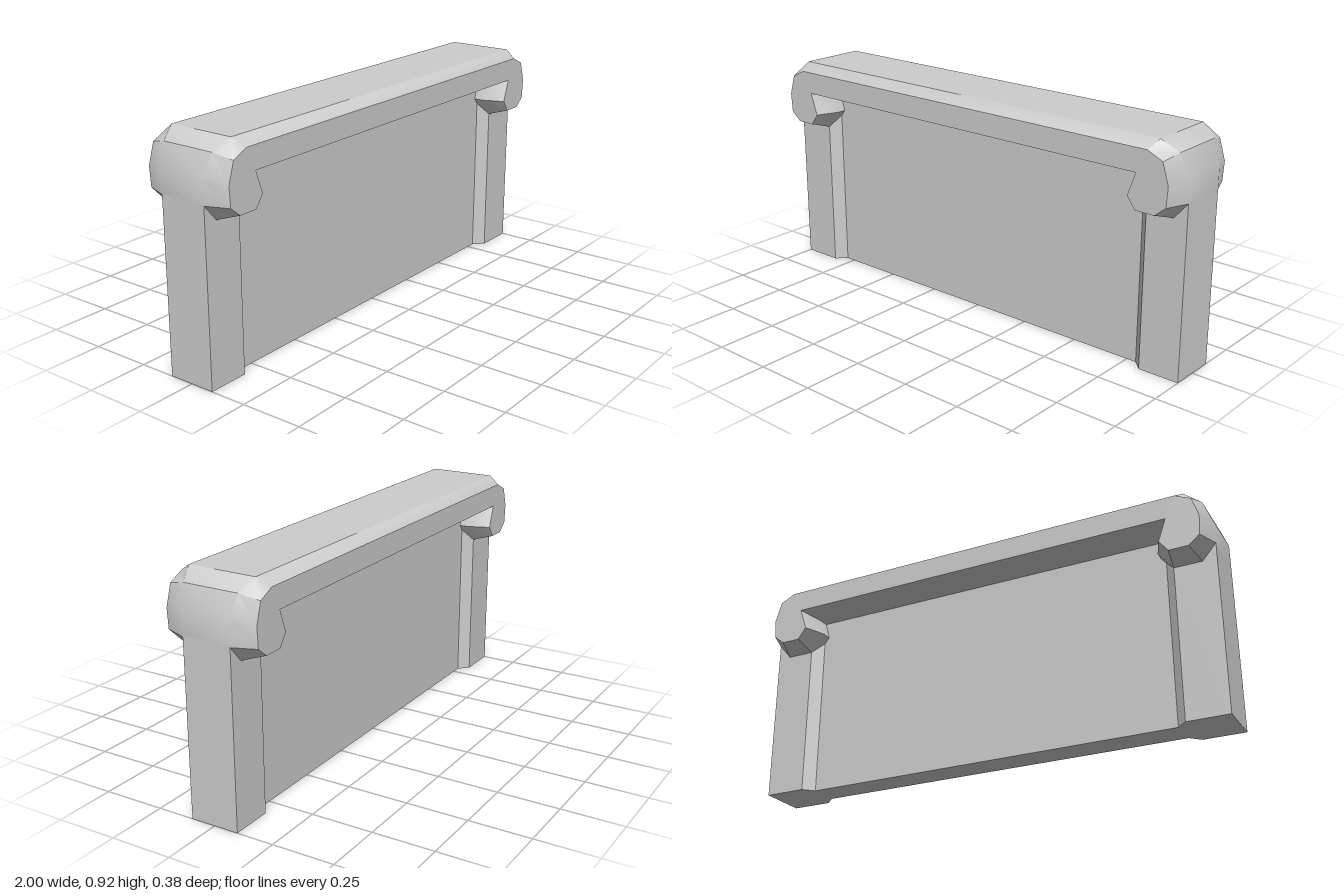
import * as THREE from 'three';
import { toCreasedNormals } from 'three/addons/utils/BufferGeometryUtils.js';

// Half outline of the cap, clockwise from the top: [face x, face y, bulge x, bulge y, bulge z]
const HALF_CAP = [
  [0.88, 0.888, 0.90, 0.92, 0.14],
  [0.944, 0.858, 0.965, 0.877, 0.115],
  [0.97, 0.775, 1.0, 0.786, 0.1],
  [0.965, 0.695, 1.0, 0.695, 0.1],
  [0.92, 0.658, 0.944, 0.63, 0.1],
  [0.84, 0.658, 0.83, 0.63, 0.1],
  [0.805, 0.706, 0.77, 0.706, 0.1],
  [0.837, 0.797, 0.79, 0.775, 0.1],
];
const CAP_Z = 0.19;

// Scrolled cap: four outlines joined front to back, closed by flat faces
function capGeometry() {
  const mirrored = HALF_CAP.map(([a, b, c, d, e]) => [-a, b, -c, d, e]).reverse();
  const outline = [...HALF_CAP, ...mirrored];
  const n = outline.length;
  const rings = [
    outline.map((p) => [p[0], p[1], CAP_Z]),
    outline.map((p) => [p[2], p[3], p[4]]),
    outline.map((p) => [p[2], p[3], -p[4]]),
    outline.map((p) => [p[0], p[1], -CAP_Z]),
  ];
  const index = [];
  for (let r = 0; r < 3; r++) {
    for (let i = 0; i < n; i++) {
      const j = (i + 1) % n;
      const a = r * n + i, b = r * n + j, c = b + n, d = a + n;
      index.push(a, b, c, a, c, d);
    }
  }
  // Front and back faces, triangulated counter-clockwise
  const contour = outline.map((p) => new THREE.Vector2(p[0], p[1])).reverse();
  for (const tri of THREE.ShapeUtils.triangulateShape(contour, [])) {
    const [a, b, c] = tri.map((k) => n - 1 - k);
    index.push(a, b, c, 3 * n + a, 3 * n + c, 3 * n + b);
  }
  const geometry = new THREE.BufferGeometry();
  geometry.setAttribute('position', new THREE.Float32BufferAttribute(rings.flat(2), 3));
  geometry.setIndex(index);
  return toCreasedNormals(geometry, THREE.MathUtils.degToRad(30));
}

// Post with chamfered inner corners, extruded upward from its footprint
function postGeometry(side) {
  const footprint = [[0.83, -0.1], [1, -0.1], [1, 0.1], [0.83, 0.1], [0.79, 0.06], [0.79, -0.06]];
  const shape = new THREE.Shape(footprint.map(([x, z]) => new THREE.Vector2(side * x, z)));
  const geometry = new THREE.ExtrudeGeometry(shape, { depth: 0.7, bevelEnabled: false });
  return geometry.rotateX(-Math.PI / 2);
}

export function createModel() {
  const group = new THREE.Group();
  group.name = 'lowWall';
  const stone = new THREE.MeshStandardMaterial({ color: 0xcccccc });
  stone.name = 'paleGreyStone';

  const add = (name, geometry) => {
    const mesh = new THREE.Mesh(geometry, stone);
    mesh.name = name;
    group.add(mesh);
    return mesh;
  };

  // Recessed wall panel between the posts
  add('panel', new THREE.BoxGeometry(1.6, 0.79, 0.12)).position.y = 0.395;
  add('leftPost', postGeometry(1));
  add('rightPost', postGeometry(-1));
  add('scrolledCap', capGeometry());
  return group;
}
